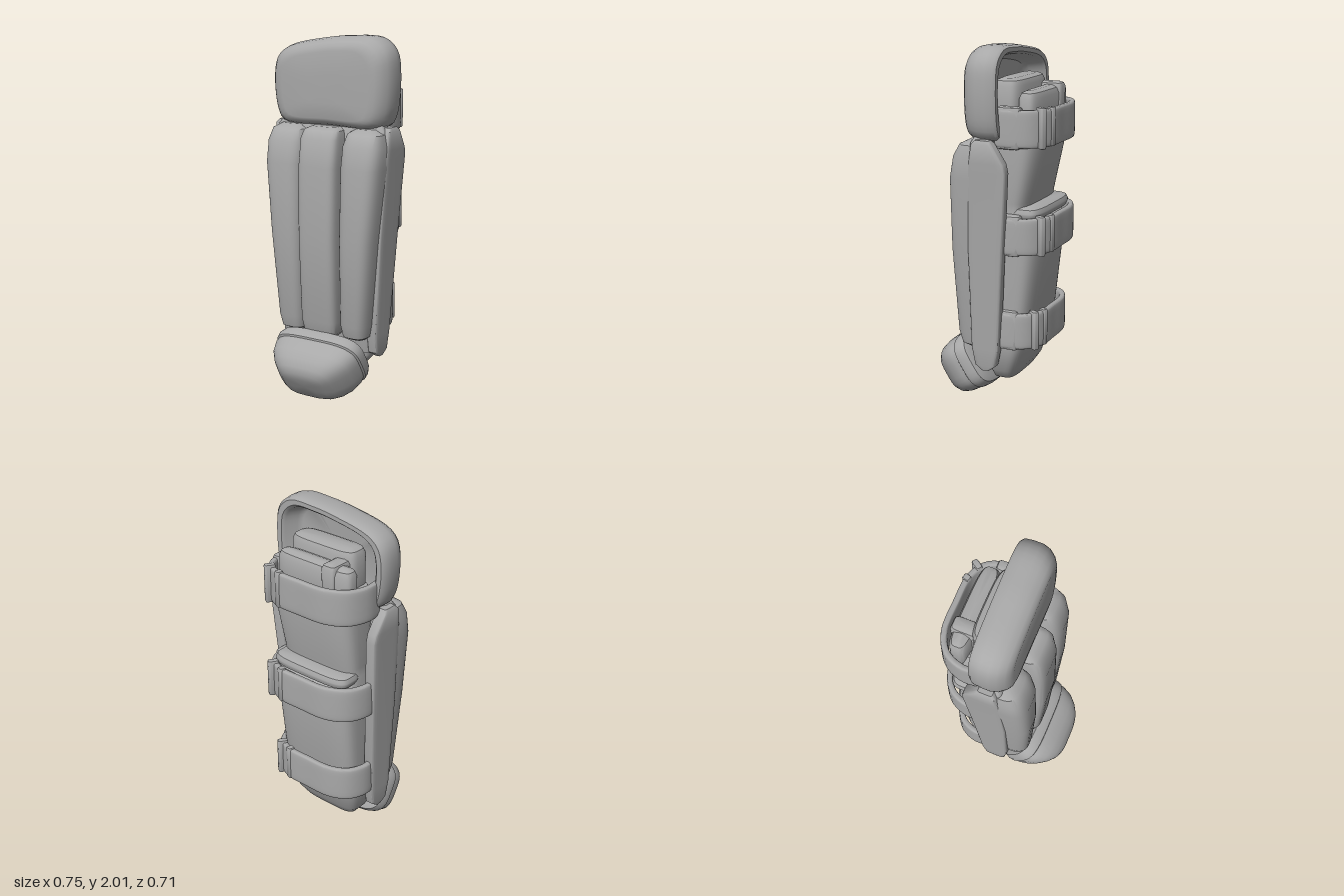
import * as THREE from 'three';
import { toCreasedNormals } from 'three/addons/utils/BufferGeometryUtils.js';

const grey = new THREE.MeshStandardMaterial({ color: 0xa8a8a8 });
grey.name = 'plain grey';

// Skin a list of closed rings (arrays of Vector3) and cap both ends.
function skin(rings, crease = 0.7) {
  const n = rings[0].length, pos = [], idx = [];
  rings.forEach(r => r.forEach(p => pos.push(p.x, p.y, p.z)));
  for (let i = 0; i < rings.length - 1; i++) {
    for (let j = 0; j < n; j++) {
      const a = i * n + j, b = i * n + (j + 1) % n;
      idx.push(a, a + n, b, b, a + n, b + n);
    }
  }
  [0, rings.length - 1].forEach(k => {
    const c = new THREE.Vector3();
    rings[k].forEach(p => c.addScaledVector(p, 1 / n));
    const ci = pos.length / 3;
    pos.push(c.x, c.y, c.z);
    for (let j = 0; j < n; j++) {
      const a = k * n + j, b = k * n + (j + 1) % n;
      if (k === 0) idx.push(ci, a, b); else idx.push(ci, b, a);
    }
  });
  // Turn the faces outward when the enclosed volume comes out negative.
  let vol = 0;
  const v = i => new THREE.Vector3().fromArray(pos, i * 3);
  for (let i = 0; i < idx.length; i += 3) vol += v(idx[i]).dot(v(idx[i + 1]).cross(v(idx[i + 2])));
  if (vol < 0) idx.reverse();
  const g = new THREE.BufferGeometry();
  g.setAttribute('position', new THREE.Float32BufferAttribute(pos, 3));
  g.setIndex(idx);
  return toCreasedNormals(g, crease);
}

// Rounded-rectangle outline as unit points; a higher power is squarer.
function rounded(power, n = 40) {
  const f = c => Math.sign(c) * Math.pow(Math.abs(c), 2 / power);
  return Array.from({ length: n }, (_, i) => {
    const t = (i + 0.5) / n * Math.PI * 2;
    return [f(Math.cos(t)), f(Math.sin(t))];
  });
}

// Stack of rounded sections; each row is [y, xMin, xMax, zMin, zMax].
function stack(rows, power = 4, crease) {
  const unit = rounded(power);
  return skin(rows.map(([y, x0, x1, z0, z1]) => unit.map(([u, w]) => new THREE.Vector3(
    (x0 + x1) / 2 + u * (x1 - x0) / 2, y, (z0 + z1) / 2 + w * (z1 - z0) / 2))), crease);
}

// Soft block with rounded top and bottom.
function cushion(x0, x1, y0, y1, z0, z1, r = 0.03, power = 4) {
  return stack([[y0, r, r], [y0 + r * 0.3, r * 0.3, r * 0.3], [y0 + r, 0, 0],
    [y1 - r, 0, 0], [y1 - r * 0.3, r * 0.3, r * 0.3], [y1, r, r]]
    .map(([y, dx, dz]) => [y, x0 + dx, x1 - dx, z0 + dz, z1 - dz]), power);
}

// Flat band swept along a path of [x, z] points.
function band(points, y, height, thick) {
  const curve = new THREE.CatmullRomCurve3(points.map(([x, z]) => new THREE.Vector3(x, y, z)));
  const unit = rounded(6, 24), steps = 36;
  return skin(Array.from({ length: steps + 1 }, (_, i) => {
    const p = curve.getPointAt(i / steps), t = curve.getTangentAt(i / steps);
    return unit.map(([u, w]) => new THREE.Vector3(
      p.x - t.z * u * thick / 2, y + w * height / 2, p.z + t.x * u * thick / 2));
  }));
}

export function createModel() {
  const model = new THREE.Group();
  model.name = 'legGuard';
  const add = (name, geometry, parent = model) => {
    const mesh = new THREE.Mesh(geometry, grey);
    mesh.name = name;
    parent.add(mesh);
    return mesh;
  };

  // Knee shield: lopsided outline, bevelled front and hollow back
  const outline = new THREE.CatmullRomCurve3([
    [-0.31, 1.515], [0, 1.505], [0.31, 1.515], [0.35, 1.57], [0.373, 1.8], [0.35, 1.93], [0.27, 1.995],
    [0.1, 2], [-0.05, 1.985], [-0.28, 1.935], [-0.35, 1.88], [-0.375, 1.77], [-0.35, 1.57],
  ].map(([x, y]) => new THREE.Vector3(x, y, 0)), true, 'centripetal').getSpacedPoints(64).slice(0, 64);
  const shieldRows = [[0.01, 0.3], [0, 0.72], [-0.02, 0.78], [-0.095, 0.83], [-0.11, 0.87], [-0.11, 0.95],
    [-0.095, 0.985], [-0.05, 1], [0, 1], [0.04, 0.97], [0.075, 0.9], [0.093, 0.83], [0.1, 0.74], [0.103, 0.3]];
  add('kneeShield', skin(shieldRows.map(([z, s]) => outline.map(p =>
    new THREE.Vector3(p.x * s, 1.7 + (p.y - 1.7) * s, z)))));

  // Backing panel between the wings
  add('shinBacking', stack([[0.24, -0.26, 0.26, -0.06, 0.05], [0.4, -0.28, 0.28, -0.08, 0.08],
    [1.4, -0.35, 0.35, -0.08, 0.08], [1.5, -0.345, 0.345, -0.06, 0.06], [1.54, -0.31, 0.31, -0.04, 0.04]], 6));

  // Three upright shin bolsters
  add('middleBolster', stack([[0.33, -0.08, 0.08, 0.04, 0.12], [0.35, -0.11, 0.1, 0, 0.165],
    [0.42, -0.118, 0.112, 0, 0.185], [0.9, -0.122, 0.114, 0, 0.21], [1.3, -0.124, 0.116, 0, 0.203],
    [1.45, -0.122, 0.114, 0, 0.18], [1.495, -0.115, 0.105, 0, 0.15], [1.512, -0.08, 0.08, 0.03, 0.11]], 4.5));
  const sideRows = [[0.33, 0.15, 0.25, 0, 0.11], [0.35, 0.13, 0.276, -0.04, 0.15], [0.42, 0.12, 0.288, -0.07, 0.17],
    [0.9, 0.12, 0.328, -0.07, 0.192], [1.3, 0.123, 0.362, -0.07, 0.187], [1.42, 0.125, 0.362, -0.07, 0.165],
    [1.485, 0.14, 0.345, -0.05, 0.13], [1.51, 0.18, 0.3, -0.01, 0.08]];

  // Side wings that wrap backwards
  const wingRows = [[0.22, 0.275, 0.305, -0.04, 0], [0.25, 0.25, 0.312, -0.08, 0.04], [0.35, 0.25, 0.316, -0.1, 0.06],
    [0.9, 0.275, 0.343, -0.135, 0.065], [1.35, 0.3, 0.367, -0.165, 0.05], [1.4, 0.302, 0.37, -0.155, 0.045],
    [1.5, 0.305, 0.373, -0.09, 0.03], [1.52, 0.315, 0.36, -0.07, 0.01]];
  for (const [side, s] of [['left', 1], ['right', -1]]) {
    const mirror = rows => rows.map(([y, a, b, c, d]) => s > 0 ? [y, a, b, c, d] : [y, -b, -a, c, d]);
    add(side + 'Bolster', stack(mirror(sideRows), 3.2));
    add(side + 'Wing', stack(mirror(wingRows), 7));
  }

  // Calf cushion in three bulging sections, ending in a rounded heel
  add('calfCushion', stack([[0.13, -0.12, 0.12, -0.09, -0.02], [0.145, -0.18, 0.18, -0.13, 0],
    [0.2, -0.225, 0.225, -0.165, 0.01], [0.34, -0.25, 0.25, -0.21, 0], [0.5, -0.255, 0.255, -0.24, 0],
    [0.9, -0.265, 0.265, -0.285, 0], [1.06, -0.265, 0.265, -0.275, 0], [1.11, -0.25, 0.25, -0.22, 0],
    [1.17, -0.255, 0.255, -0.225, 0], [1.45, -0.27, 0.27, -0.285, 0], [1.58, -0.265, 0.265, -0.27, 0],
    [1.62, -0.24, 0.24, -0.23, -0.02]], 4));
  add('calfRoll', cushion(-0.26, 0.25, 1.08, 1.15, -0.305, -0.12, 0.03));

  // Knee pads inside the shield
  add('innerKneePad', cushion(-0.21, 0.22, 1.5, 1.83, -0.175, -0.01, 0.04));
  add('outerKneePad', cushion(-0.27, 0.22, 1.52, 1.77, -0.275, -0.16, 0.04));
  add('kneePadLoop', cushion(-0.19, -0.1, 1.55, 1.785, -0.285, -0.12, 0.025, 6));

  // Three straps, each with a buckle and an anchor tab
  const strapPath = [[-0.31, -0.08], [-0.315, -0.17], [-0.27, -0.27], [-0.17, -0.325], [0, -0.333],
    [0.16, -0.325], [0.25, -0.27], [0.285, -0.18], [0.285, -0.08]];
  for (const [name, y, k, dz] of [['upper', 1.58, 1, 0], ['middle', 1, 1, 0], ['lower', 0.46, 0.93, 0.04]]) {
    const strap = new THREE.Group();
    strap.name = name + 'Strap';
    model.add(strap);
    add('band', band(strapPath.map(([x, z]) => [x * k, z + dz * Math.min(1, -z * 3)]), y, 0.2, 0.036), strap);
    add('anchorTab', cushion(0.235 * k, 0.3 * k, y - 0.11, y + 0.115, -0.215 + dz * 0.5, -0.08, 0.015, 6), strap);
    const buckle = add('buckle', cushion(-0.018, 0.018, -0.105, 0.115, -0.03, 0.03, 0.01, 5), strap);
    buckle.position.set(0.225 * k, y, -0.312 + dz);
    buckle.rotation.y = -0.6;
    const flap = add('flapEnd', cushion(-0.018, 0.018, -0.1, 0.11, -0.02, 0.02, 0.01, 5), strap);
    flap.position.set(0.14 * k, y, -0.333 + dz);
    flap.rotation.y = -0.3;
  }

  // Instep flap: tilted collar and blunt cap (local y points out of the toe)
  const toe = new THREE.Group();
  toe.name = 'toeGuard';
  toe.position.set(0, 0.21, 0.11);
  toe.rotation.x = Math.PI / 2 + 0.57;
  model.add(toe);
  add('collar', stack([[-0.045, -0.24, 0.24, -0.13, 0.13], [-0.035, -0.265, 0.265, -0.16, 0.155],
    [0, -0.277, 0.277, -0.172, 0.165], [0.03, -0.275, 0.275, -0.17, 0.165], [0.045, -0.255, 0.255, -0.15, 0.15]], 3.6), toe);
  add('toeCap', stack([[0, -0.26, 0.26, -0.155, 0.155], [0.06, -0.268, 0.268, -0.165, 0.16],
    [0.12, -0.25, 0.25, -0.163, 0.158], [0.17, -0.215, 0.215, -0.15, 0.148], [0.21, -0.175, 0.175, -0.125, 0.125],
    [0.235, -0.135, 0.135, -0.095, 0.095], [0.243, -0.08, 0.08, -0.055, 0.055]], 3.6), toe);

  return model;
}
